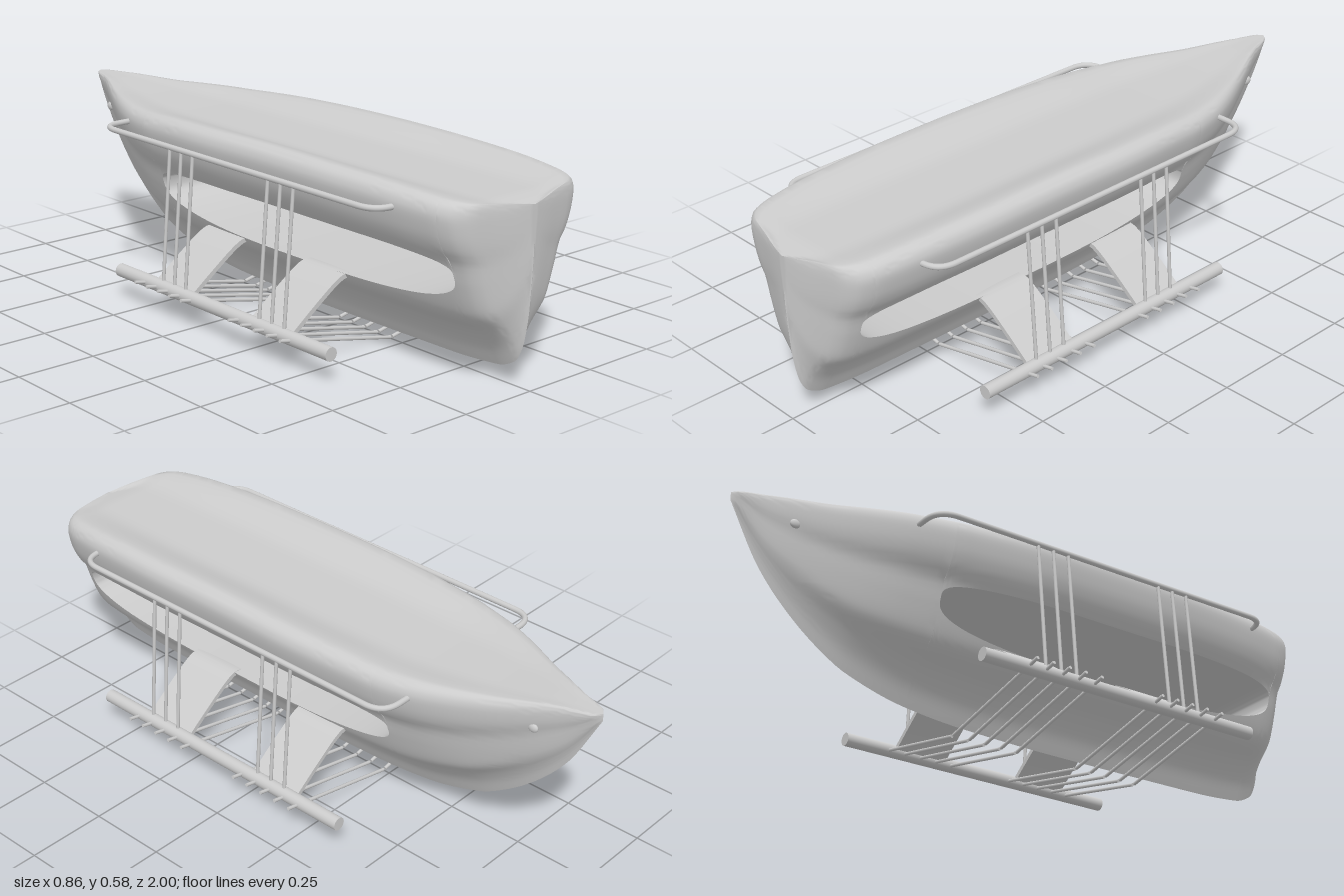
import * as THREE from 'three';
import { toCreasedNormals } from 'three/addons/utils/BufferGeometryUtils.js';

const V = (x, y, z) => new THREE.Vector3(x, y, z);
const grey = new THREE.MeshStandardMaterial({ color: 0xcccccc });

// smooth monotone interpolation through [x, y] pairs sorted by x
function smooth(p) {
  const n = p.length;
  const d = p.slice(1).map((q, i) => (q[1] - p[i][1]) / (q[0] - p[i][0]));
  const m = p.map((_, i) => {
    if (i === 0) return d[0];
    if (i === n - 1) return d[n - 2];
    return d[i - 1] * d[i] <= 0 ? 0 : (2 * d[i - 1] * d[i]) / (d[i - 1] + d[i]);
  });
  return (x) => {
    if (x <= p[0][0]) return p[0][1];
    if (x >= p[n - 1][0]) return p[n - 1][1];
    let i = 0;
    while (x > p[i + 1][0]) i++;
    const h = p[i + 1][0] - p[i][0], t = (x - p[i][0]) / h, u = 1 - t;
    return p[i][1] * u * u * (1 + 2 * t) + p[i + 1][1] * t * t * (3 - 2 * t)
      + h * t * u * (m[i] * u - m[i + 1] * t);
  };
}

// hull lines along z
const halfWidth = smooth([[-1, 0], [-0.985, 0.02], [-0.9, 0.055], [-0.8, 0.105], [-0.6, 0.205], [-0.5, 0.242],
  [-0.35, 0.272], [0, 0.293], [0.4, 0.293], [0.7, 0.282], [0.85, 0.265], [0.91, 0.245], [0.945, 0.205],
  [0.965, 0.13], [0.985, 0.05], [0.995, 0]]);
const keel = smooth([[-1, 0.55], [-0.9, 0.365], [-0.8, 0.25], [-0.7, 0.168], [-0.6, 0.11], [-0.4, 0.055], [-0.2, 0.036],
  [0.1, 0.029], [0.7, 0.033], [0.88, 0.045], [0.94, 0.07], [0.965, 0.11], [0.985, 0.21], [1, 0.48]]);
const rim = smooth([[-1, 0.575], [-0.9, 0.575], [-0.7, 0.565], [-0.5, 0.565], [-0.2, 0.576], [0.2, 0.583],
  [0.6, 0.577], [0.9, 0.56], [0.96, 0.548], [1, 0.53]]);
const deck = smooth([[-1, 0.575], [-0.9, 0.573], [-0.65, 0.555], [-0.4, 0.545], [0.9, 0.543], [1, 0.53]]);
// relative half-width over relative height
const flare = smooth([[0, 0], [0.11, 0.11], [0.21, 0.27], [0.32, 0.51], [0.365, 0.565], [0.51, 0.68], [0.655, 0.78],
  [0.71, 0.87], [0.82, 0.966], [0.92, 1], [0.965, 0.975], [0.99, 0.925], [1, 0.88]]);

const SLOT = { z: 0.24, half: 0.64, y: 0.33 };
const NL = 20, NU = 18, ND = 10;

// half section at z: lower run (keel to slot) and upper run (slot to deck centre)
function section(z) {
  const k = keel(z), r = rim(z), w = halfWidth(z), c = deck(z);
  const u = Math.min(1, Math.abs((z - SLOT.z) / SLOT.half));
  const rel = (y) => THREE.MathUtils.clamp((y - k) / (r - k), 0.25, 0.8);
  const sLow = rel(SLOT.y - 0.1 * (1 - u ** 2.6) ** (1 / 2.6));
  const sHigh = rel(SLOT.y + 0.064 * (1 - u ** 4) ** (1 / 4));
  const side = (s) => V(w * flare(s), k + s * (r - k), z);
  const lower = [], upper = [];
  for (let j = 0; j <= NL; j++) lower.push(side(sLow * j / NL));
  for (let j = 0; j <= NU; j++) upper.push(side(sHigh + (1 - sHigh) * Math.sin(j / NU * Math.PI / 2)));
  for (let j = 1; j <= ND; j++) {
    const t = 1 - j / ND;
    upper.push(V(0.88 * w * t, c + (r - c) * THREE.MathUtils.smoothstep(t, 0.4, 1), z));
  }
  return { lower, upper };
}

function hullGeometry() {
  const zs = [];
  const zBack = SLOT.z - SLOT.half, zFront = SLOT.z + SLOT.half;
  for (let i = 0; i < 30; i++) zs.push(-1 + (zBack + 1) * (i / 30) ** 1.4);
  const first = zs.length;
  for (let i = 0; i <= 64; i++) zs.push(SLOT.z - SLOT.half * Math.cos(i / 64 * Math.PI));
  const last = zs.length - 1;
  for (let i = 1; i <= 20; i++) zs.push(zFront + (0.995 - zFront) * Math.sin(i / 20 * Math.PI / 2));

  const pos = [];
  const quad = (a, b, c, d) => [a, b, c, a, c, d].forEach((p) => pos.push(p.x, p.y, p.z));
  const flip = (p) => V(-p.x, p.y, p.z);
  const secs = zs.map(section);
  for (let i = 0; i < secs.length - 1; i++) {
    const A = secs[i], B = secs[i + 1];
    for (const run of ['lower', 'upper']) {
      const a = A[run], b = B[run];
      for (let j = 0; j < a.length - 1; j++) {
        quad(a[j], a[j + 1], b[j + 1], b[j]);
        quad(flip(b[j]), flip(b[j + 1]), flip(a[j + 1]), flip(a[j]));
      }
    }
    // floor and ceiling of the slot through the hull
    if (i >= first && i < last) {
      const a = A.lower[NL], b = B.lower[NL], c = A.upper[0], d = B.upper[0];
      quad(a, flip(a), flip(b), b);
      quad(d, flip(d), flip(c), c);
    }
  }
  const g = new THREE.BufferGeometry();
  g.setAttribute('position', new THREE.Float32BufferAttribute(pos, 3));
  return toCreasedNormals(g, 0.75);
}

function add(parent, name, geometry) {
  const mesh = new THREE.Mesh(geometry, grey);
  mesh.name = name;
  parent.add(mesh);
  return mesh;
}

// straight round bar between two points
function bar(parent, name, a, b, radius, sides = 8) {
  const mesh = add(parent, name, new THREE.CylinderGeometry(radius, radius, a.distanceTo(b), sides));
  mesh.position.copy(a).lerp(b, 0.5);
  mesh.quaternion.setFromUnitVectors(V(0, 1, 0), b.clone().sub(a).normalize());
}

// rail running along the hull with both ends bent inward
function railGeometry(s) {
  const x = 0.34, y = 0.52, z0 = -0.51, z1 = 0.735, r = 0.07;
  const path = new THREE.CurvePath();
  const P = (px, pz) => V(s * px, y, pz);
  path.add(new THREE.LineCurve3(P(0.22, z0), P(x - r, z0)));
  path.add(new THREE.QuadraticBezierCurve3(P(x - r, z0), P(x, z0), P(x, z0 + r)));
  path.add(new THREE.LineCurve3(P(x, z0 + r), P(x, z1 - r)));
  path.add(new THREE.QuadraticBezierCurve3(P(x, z1 - r), P(x, z1), P(x - r, z1)));
  path.add(new THREE.LineCurve3(P(x - r, z1), P(0.22, z1)));
  return new THREE.TubeGeometry(path, 160, 0.009, 10);
}

// curved plate from the hull down to the float
function plateGeometry(s) {
  const top = new THREE.SplineCurve([[0.1, 0.222], [0.155, 0.232], [0.2, 0.217], [0.28, 0.162], [0.375, 0.09]]
    .map(([x, y]) => new THREE.Vector2(s * x, y))).getPoints(24);
  const under = top.map((p) => new THREE.Vector2(p.x - s * 0.007, p.y - 0.013)).reverse();
  const g = new THREE.ExtrudeGeometry(new THREE.Shape([...top, ...under]), { depth: 0.18, bevelEnabled: false });
  return toCreasedNormals(g, 0.6);
}

export function createModel() {
  const model = new THREE.Group();
  model.name = 'boat';
  add(model, 'hull', hullGeometry());

  for (const s of [1, -1]) {
    const rig = new THREE.Group();
    rig.name = s > 0 ? 'leftOutrigger' : 'rightOutrigger';
    model.add(rig);

    add(rig, 'rail', railGeometry(s));
    bar(rig, 'float', V(s * 0.375, 0.087, -0.38), V(s * 0.375, 0.087, 0.605), 0.021, 20);

    for (const z of [-0.205, 0.25]) add(rig, 'supportPlate', plateGeometry(s)).position.z = z;

    // two sets of uprights and cross bars
    for (const z of [-0.105, 0.35]) {
      for (const k of [-1, 0, 1]) {
        bar(rig, 'upright', V(s * 0.34, 0.52, z + k * 0.055), V(s * 0.375, 0.09, z + k * 0.055), 0.0055);
      }
    }
    for (const z of [-0.115, 0.338]) {
      for (let k = -2; k <= 2; k++) {
        bar(rig, 'crossBar', V(s * 0.43, 0.096, z + k * 0.057), V(s * 0.004, 0.006, z + k * 0.057), 0.0055);
      }
    }

    // small eye near the bow
    const eye = add(rig, 'bowEye', new THREE.SphereGeometry(0.014, 16, 12));
    eye.position.set(s * 0.08, 0.49, -0.83);
    eye.scale.set(0.6, 1, 1.2);
  }
  return model;
}
